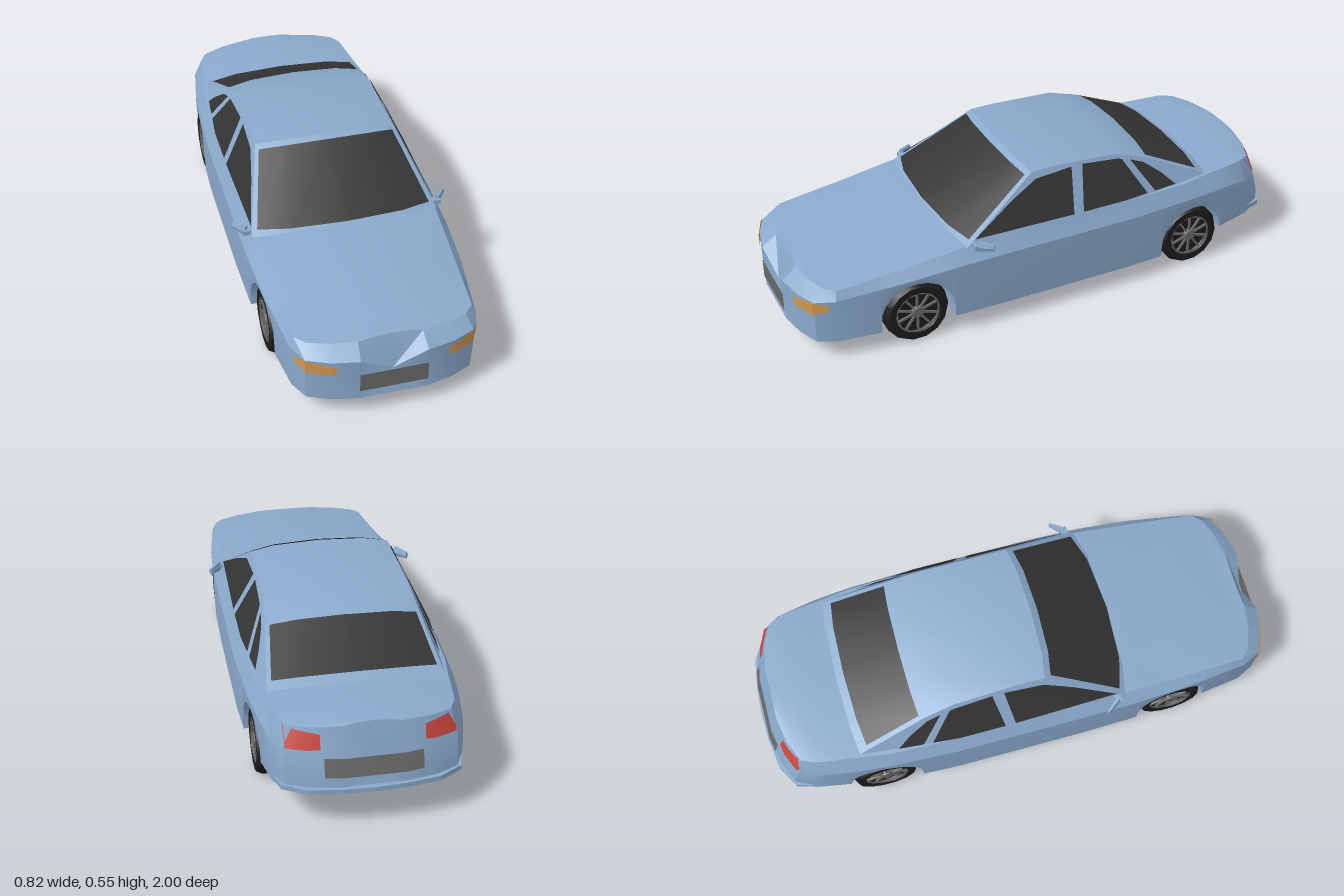
import * as THREE from 'three';
import { toCreasedNormals } from 'three/addons/utils/BufferGeometryUtils.js';

const mat = (color, double) => new THREE.MeshStandardMaterial({ color, side: double ? THREE.DoubleSide : THREE.FrontSide });
const paint = mat(0x8aa9cc, true), glass = mat(0x343434, true), rubber = mat(0x1c1c1c), metal = mat(0x6a6a6a);
const amber = mat(0xd0954f, true), red = mat(0xc8463e, true), plate = mat(0x686868, true);
const lerp = THREE.MathUtils.lerp, clamp01 = (v) => THREE.MathUtils.clamp(v, 0, 1);

function mesh(name, geometry, material) {
  const m = new THREE.Mesh(geometry, material);
  m.name = name;
  return m;
}

// Triangle list to geometry, dropping collapsed triangles
function fromTriangles(tris) {
  const pos = [], n = new THREE.Vector3();
  for (const [a, b, c] of tris) {
    n.subVectors(b, a).cross(new THREE.Vector3().subVectors(c, a));
    if (n.length() > 1e-9) for (const p of [a, b, c]) pos.push(p.x, p.y, p.z);
  }
  const g = new THREE.BufferGeometry();
  g.setAttribute('position', new THREE.Float32BufferAttribute(pos, 3));
  g.computeVertexNormals();
  return toCreasedNormals(g, 0.4);
}

// Skin over half sections (floor centre to top centre), mirrored in x and capped
function loft(halves) {
  const rings = halves.map((h) => [...h, ...h.slice(1, -1).reverse().map((p) => new THREE.Vector3(-p.x, p.y, p.z))]);
  const n = rings[0].length, tris = [];
  for (let i = 0; i < rings.length - 1; i++) for (let j = 0; j < n; j++) {
    const k = (j + 1) % n, a = rings[i][j], b = rings[i][k], c = rings[i + 1][k], d = rings[i + 1][j];
    tris.push([a, d, b], [b, d, c]);
  }
  [rings[0], rings[rings.length - 1]].forEach((r, end) => {
    const mid = r.reduce((s, p) => s.add(p), new THREE.Vector3()).divideScalar(n);
    r.forEach((p, j) => tris.push(end ? [mid, r[(j + 1) % n], p] : [mid, p, r[(j + 1) % n]]));
  });
  return fromTriangles(tris);
}

// Open sheet through rows of points
function sheet(rows) {
  const tris = [];
  for (let i = 0; i < rows.length - 1; i++) for (let j = 0; j < rows[0].length - 1; j++) {
    const a = rows[i][j], b = rows[i][j + 1], c = rows[i + 1][j + 1], d = rows[i + 1][j];
    tris.push([a, d, b], [b, d, c]);
  }
  return fromTriangles(tris);
}

// Body stations: z, widest half width, its height, shoulder half width, shoulder height, centre height
const BODY = [
  [0.995, 0.12, 0.25, 0.115, 0.292, 0.298], [0.975, 0.22, 0.25, 0.21, 0.29, 0.3],
  [0.94, 0.3, 0.25, 0.285, 0.288, 0.302], [0.87, 0.335, 0.255, 0.32, 0.29, 0.308],
  [0.6, 0.37, 0.28, 0.335, 0.318, 0.345], [0.4, 0.382, 0.295, 0.345, 0.345, 0.366],
  [0.2, 0.386, 0.3, 0.354, 0.36, 0.37], [-0.3, 0.386, 0.3, 0.354, 0.362, 0.37],
  [-0.55, 0.375, 0.305, 0.345, 0.365, 0.385], [-0.68, 0.362, 0.305, 0.325, 0.37, 0.386],
  [-0.86, 0.335, 0.3, 0.305, 0.375, 0.394], [-0.93, 0.3, 0.29, 0.28, 0.372, 0.393],
  [-0.965, 0.22, 0.29, 0.2, 0.376, 0.392], [-0.985, 0.11, 0.29, 0.1, 0.381, 0.391],
];
const AXLES = [0.57, -0.585], ARCH = 0.14;
const floorAt = (z) => (z > -0.6 ? 0.08 : 0.125 + Math.max(0, -z - 0.725) * 0.11);

// Slopes the nose and tail faces away from upright
const lean = (z, y) => z - 1.3 * Math.max(0, y - 0.25) * clamp01((z - 0.85) / 0.1)
  + 0.3 * Math.max(0, y - 0.2) * clamp01((-0.8 - z) / 0.1);

function bodyKey(z) {
  let i = 0;
  while (i < BODY.length - 2 && BODY[i + 1][0] > z) i++;
  const t = clamp01((BODY[i][0] - z) / (BODY[i][0] - BODY[i + 1][0]));
  return BODY[i].map((v, k) => lerp(v, BODY[i + 1][k], t));
}

function bodySection([z, sill]) {
  const [, w, ym, ws, ys, yc] = bodyKey(z);
  const inner = Math.min(0.26, w * 0.8), base = floorAt(z);
  const pts = [[0, base], [inner, base], [inner, sill], [w * 0.99, sill], [w, lerp(sill, ym, 0.5)], [w, ym],
    [ws, ys], [ws * 0.6, lerp(ys, yc, 0.75)], [0, yc]];
  return pts.map(([x, y]) => new THREE.Vector3(x, y, lean(z, y)));
}

function makeBody() {
  const stations = BODY.map((k) => k[0]).filter((z) => AXLES.every((c) => Math.abs(z - c) > ARCH)).map((z) => [z, floorAt(z)]);
  for (const c of AXLES) {
    stations.push([c + ARCH, 0.08]);
    for (let i = 0; i <= 12; i++) {
      const a = (i / 12) * Math.PI;
      stations.push([c + ARCH * Math.cos(a), 0.12 + ARCH * Math.sin(a)]);
    }
    stations.push([c - ARCH, floorAt(c - ARCH)]);
  }
  stations.sort((a, b) => b[0] - a[0]); // stable, so paired arch ends keep their order
  return loft(stations.map(bodySection));
}

// Cabin stations: centre z, edge z, edge height, centre height
const CABIN = [[0.42, 0.37, 0.345, 0.355], [0.09, 0.07, 0.54, 0.556], [-0.02, -0.02, 0.543, 0.558],
  [-0.28, -0.28, 0.53, 0.545], [-0.41, -0.4, 0.49, 0.512], [-0.69, -0.67, 0.365, 0.38]];
const sideX = (y, z) => 0.354 - 0.49 * (y - 0.365) - 0.035 * Math.max(0, z - 0.07) - 0.09 * Math.max(0, -0.28 - z);

function cabinSection([zc, ze, ye, yc]) {
  const e = sideX(ye, ze);
  return [new THREE.Vector3(0, 0.34, ze), new THREE.Vector3(sideX(0.34, ze), 0.34, ze), new THREE.Vector3(e, ye, ze),
    new THREE.Vector3(e * 0.65, lerp(ye, yc, 0.7), lerp(ze, zc, 0.7)), new THREE.Vector3(0, yc, zc)];
}

// Windscreen or rear window lying on the cabin between two stations
function screen(i, u0, u1, dz) {
  const a = cabinSection(CABIN[i]).slice(2), b = cabinSection(CABIN[i + 1]).slice(2);
  return sheet([u0, u1].map((u) => {
    const half = a.map((p, k) => p.clone().lerp(b[k], u).add(new THREE.Vector3(0, 0.005, dz)));
    half.forEach((p) => { p.x *= 0.945; });
    return [...half, ...half.slice(0, -1).reverse().map((p) => new THREE.Vector3(-p.x, p.y, p.z))];
  }));
}

function sideWindow(points, side) {
  const g = new THREE.ShapeGeometry(new THREE.Shape(points.map(([z, y]) => new THREE.Vector2(z, y))));
  const p = g.attributes.position;
  for (let i = 0; i < p.count; i++) {
    const z = p.getX(i), y = p.getY(i);
    p.setXYZ(i, side * (sideX(y, z) + 0.005), y, z);
  }
  g.computeVertexNormals();
  return g;
}

// Depth of the nose (end 1) or tail (end -1) at a given x and y
function endZ(x, y, end) {
  const keys = (end > 0 ? BODY.slice(0, 5) : BODY.slice(-5).reverse());
  const reach = Math.abs(x) + (end < 0 ? 0.02 * clamp01((y - 0.29) / 0.08) : 0);
  let i = 0;
  while (i < 3 && keys[i + 1][1] < reach) i++;
  const t = clamp01((reach - keys[i][1]) / (keys[i + 1][1] - keys[i][1]));
  return lean(lerp(keys[i][0], keys[i + 1][0], t), y) + end * 0.005;
}

// Lamp or plate laid on an end; columns are x, bottom y, top y
const endPatch = (cols, side, end) => sheet([1, 2].map((r) => cols.map((c) =>
  new THREE.Vector3(side * (c[0] + (c[0] > 0.3 ? 0.004 : 0)), c[r], endZ(c[0], c[r], end)))));

function makeWheel(side) {
  const wheel = new THREE.Group();
  const profile = [[0.07, -0.042], [0.125, -0.042], [0.125, 0.022], [0.114, 0.042], [0.088, 0.042], [0.082, 0.026], [0, 0.024]];
  const tyre = new THREE.LatheGeometry(profile.map(([r, y]) => new THREE.Vector2(r, y)), 14);
  wheel.add(mesh('tyre', toCreasedNormals(tyre, 0.6), rubber));
  const back = mesh('wheelBack', new THREE.CylinderGeometry(0.075, 0.075, 0.01, 14), rubber);
  back.position.y = -0.032;
  const hub = mesh('hub', new THREE.CylinderGeometry(0.022, 0.026, 0.014, 10), metal);
  hub.position.y = 0.033;
  const rim = mesh('rim', new THREE.TorusGeometry(0.083, 0.004, 4, 14), metal);
  rim.rotation.x = Math.PI / 2;
  rim.position.y = 0.036;
  wheel.add(back, hub, rim);
  for (let i = 0; i < 10; i++) {
    const a = (i / 10) * Math.PI * 2;
    const spoke = mesh('spoke', new THREE.BoxGeometry(0.062, 0.008, 0.008), metal);
    spoke.position.set(0.051 * Math.cos(a), 0.03, -0.051 * Math.sin(a));
    spoke.rotation.y = a;
    wheel.add(spoke);
  }
  wheel.rotation.z = -side * Math.PI / 2;
  return wheel;
}

export function createModel() {
  const car = new THREE.Group();
  car.name = 'car';
  car.add(mesh('body', makeBody(), paint), mesh('cabin', loft(CABIN.map(cabinSection)), paint));
  car.add(mesh('windscreen', screen(0, 0.07, 0.93, 0.003), glass), mesh('rearWindow', screen(4, 0.04, 0.83, -0.003), glass));

  // Rear bumper lip
  const plan = [[0.338, 0.84], [0.312, 0.93], [0.23, 0.977], [0.11, 0.995], [0, 1]];
  const outline = [...plan, ...plan.slice(0, -1).reverse().map(([x, y]) => [-x, y])];
  const lip = new THREE.ExtrudeGeometry(new THREE.Shape(outline.map(([x, y]) => new THREE.Vector2(x, y))), { depth: 0.018, bevelEnabled: false });
  lip.rotateX(-Math.PI / 2).translate(0, 0.152, 0);
  car.add(mesh('rearBumper', lip, paint));

  // Plates
  car.add(mesh('frontPlate', endPatch([[-0.122, 0.118, 0.193], [0, 0.118, 0.193], [0.122, 0.118, 0.193]], 1, 1), plate));
  car.add(mesh('rearPlate', endPatch([-0.17, -0.11, 0, 0.11, 0.17].map((x) => [x, 0.21, 0.275]), 1, -1), plate));

  const windows = {
    frontWindow: [[0.335, 0.37], [0.17, 0.465], [0.06, 0.518], [-0.09, 0.528], [-0.065, 0.37]],
    rearSideWindow: [[-0.105, 0.37], [-0.135, 0.528], [-0.28, 0.516], [-0.3, 0.51], [-0.385, 0.37], [-0.28, 0.37]],
    quarterWindow: [[-0.42, 0.37], [-0.335, 0.5], [-0.39, 0.478], [-0.46, 0.425], [-0.515, 0.37]],
  };
  for (const side of [1, -1]) {
    for (const [name, pts] of Object.entries(windows)) car.add(mesh(name, sideWindow(pts, side), glass));
    car.add(mesh('headlamp', endPatch([[0.2, 0.2, 0.235], [0.22, 0.199, 0.237], [0.26, 0.198, 0.245], [0.3, 0.198, 0.25], [0.325, 0.218, 0.242]], side, 1), amber));
    car.add(mesh('tailLamp', endPatch([[0.18, 0.305, 0.355], [0.22, 0.302, 0.36], [0.26, 0.3, 0.364], [0.295, 0.3, 0.366]], side, -1), red));

    // Door mirror: tapered shell on a short arm
    const mirror = new THREE.Group();
    mirror.name = 'mirror';
    const shell = mesh('mirrorShell', new THREE.CylinderGeometry(0.016, 0.026, 0.062, 6), paint);
    shell.geometry = toCreasedNormals(shell.geometry.rotateZ(-Math.PI / 2).scale(1, 0.88, 0.5), 0.4);
    shell.position.set(0.385, 0.352, 0.31);
    shell.rotation.y = 0.9;
    const arm = mesh('mirrorArm', new THREE.BoxGeometry(0.04, 0.018, 0.025), paint);
    arm.position.set(0.358, 0.35, 0.335);
    mirror.add(shell, arm);
    mirror.scale.x = side;
    car.add(mirror);

    AXLES.forEach((z, i) => {
      const wheel = makeWheel(side);
      wheel.name = i ? 'rearWheel' : 'frontWheel';
      wheel.position.set(side * 0.318, 0.125, z);
      car.add(wheel);
    });
  }
  return car;
}
